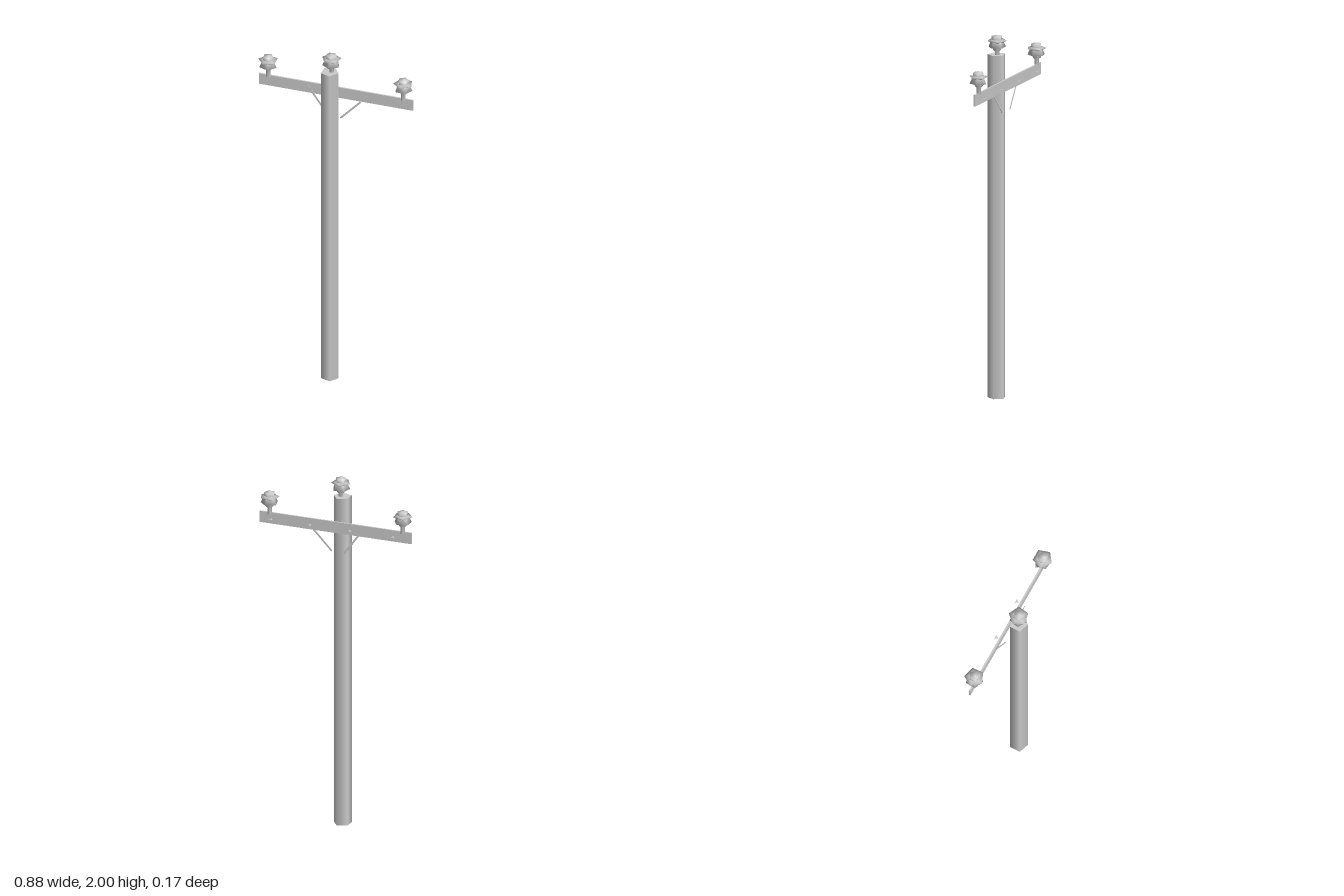
import * as THREE from 'three';

const grey = new THREE.MeshStandardMaterial({ color: 0xcccccc });
const thin = new THREE.MeshStandardMaterial({ color: 0xcccccc, side: THREE.DoubleSide });
const SIDES = 5;

function add(parent, name, geometry, x, y, z, material = grey) {
  const mesh = new THREE.Mesh(geometry, material);
  mesh.name = name;
  mesh.position.set(x, y, z);
  parent.add(mesh);
  return mesh;
}

function lathe(points, turn) {
  return new THREE.LatheGeometry(points.map(([r, y]) => new THREE.Vector2(r, y)), SIDES, turn);
}

// Pin, flared skirt, wide disc and cap, each with five sides
function insulator(parent, name, x, y, z, turn) {
  const group = new THREE.Group();
  group.name = name;
  group.position.set(x, y, z);
  parent.add(group);
  add(group, 'pin', lathe([[0.013, -0.01], [0.013, 0.03], [0.023, 0.04], [0.023, 0.06]], turn), 0, 0, 0, thin);
  add(group, 'skirt', lathe([[0, 0.06], [0.022, 0.052], [0.049, 0.054], [0.034, 0.088]], turn + 0.5), 0, 0, 0, thin);
  add(group, 'disc', lathe([[0.03, 0.078], [0.055, 0.092], [0.026, 0.096]], turn), 0, 0, 0, thin);
  add(group, 'cap', lathe([[0.029, 0.09], [0.03, 0.115], [0, 0.122]], turn + Math.PI / 5), 0, 0, 0, thin);
}

// Flat strip between two points in the xy plane
function brace(parent, name, x0, y0, x1, y1, z) {
  const length = Math.hypot(x1 - x0, y1 - y0);
  const strip = add(parent, name, new THREE.BoxGeometry(length, 0.01, 0.002), (x0 + x1) / 2, (y0 + y1) / 2, z);
  strip.rotation.z = Math.atan2(y1 - y0, x1 - x0);
}

export function createModel() {
  const model = new THREE.Group();
  model.name = 'utilityPole';

  // Upright pole
  const pole = new THREE.CylinderGeometry(0.0505, 0.0505, 1.89, SIDES, 1, false, Math.PI / 2);
  add(model, 'pole', pole, -0.013, 0.945, 0.034);

  // Crossarm behind the pole
  add(model, 'crossarm', new THREE.BoxGeometry(0.88, 0.064, 0.009), 0, 1.733, -0.033);

  // Diagonal braces
  brace(model, 'leftBrace', 0.03, 1.585, 0.145, 1.705, -0.016);
  brace(model, 'rightBrace', -0.165, 1.75, -0.045, 1.585, -0.027);

  // Insulators on the pole top and the arm ends
  insulator(model, 'topInsulator', -0.005, 1.878, 0.03, Math.PI + 0.18);
  insulator(model, 'leftInsulator', 0.383, 1.763, -0.033, 0);
  insulator(model, 'rightInsulator', -0.388, 1.763, -0.033, Math.PI + 0.38);

  // Flat triangular bolt tips standing off the back of the arm
  const tip = new THREE.Shape([
    new THREE.Vector2(-0.012, -0.01), new THREE.Vector2(0.012, -0.01), new THREE.Vector2(0, 0.011),
  ]);
  const tipGeometry = new THREE.ShapeGeometry(tip).rotateX(Math.PI / 2);
  for (const x of [-0.34, -0.092, 0.14, 0.365]) add(model, 'boltTip', tipGeometry, x, 1.735, -0.056, thin);

  return model;
}
